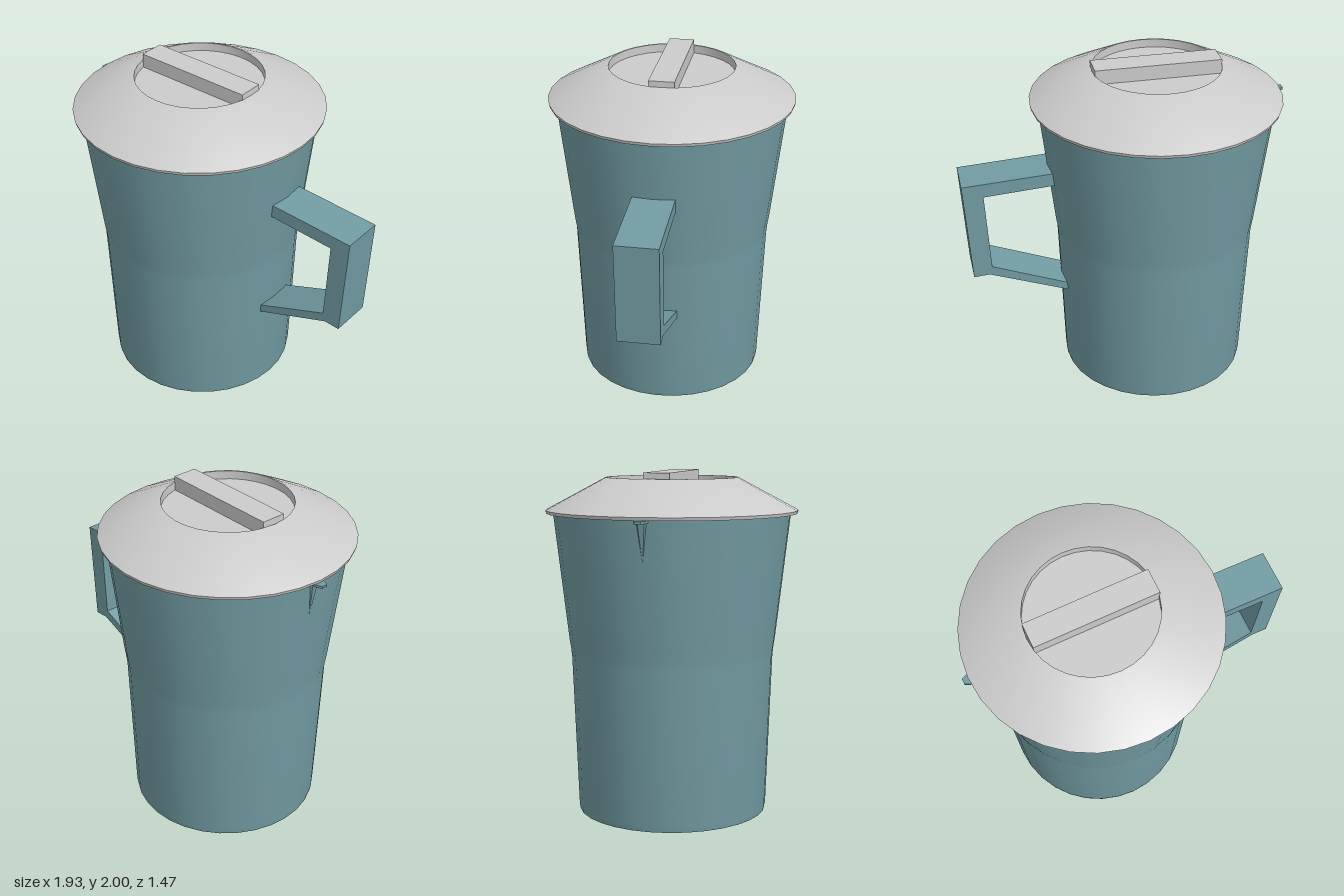
import * as THREE from 'three';
import { toCreasedNormals } from 'three/addons/utils/BufferGeometryUtils.js';
import { ConvexGeometry } from 'three/addons/geometries/ConvexGeometry.js';

const AXIS_X = -0.205; // centre line of the pitcher
const SIDES = 32;

export function createModel() {
  const group = new THREE.Group();
  const teal = new THREE.MeshStandardMaterial({ color: 0x729ca3 });
  const grey = new THREE.MeshStandardMaterial({ color: 0xcccccc });

  const add = (name, geometry, material, x = 0, y = 0, z = 0) => {
    const mesh = new THREE.Mesh(geometry, material);
    mesh.name = name;
    mesh.position.set(x, y, z);
    group.add(mesh);
    return mesh;
  };
  const vec2 = (list) => list.map(([x, y]) => new THREE.Vector2(x, y));
  const vec3 = (list) => list.map((p) => new THREE.Vector3(...p));
  const lathe = (profile) =>
    toCreasedNormals(new THREE.LatheGeometry(vec2(profile), SIDES), 0.5);

  // Tapered jug: recessed base, outer wall with a waist, rim, inner wall
  add('body', lathe([
    [0, 0.015], [0.42, 0.015], [0.44, 0], [0.555, 0], [0.56, 0.03],
    [0.593, 0.92], [0.598, 0.97], [0.607, 1.03], [0.692, 1.765],
    [0.672, 1.765], [0.585, 1.03], [0.572, 0.92], [0.54, 0.05], [0, 0.05],
  ]), teal, AXIS_X);

  // Sloping lid with a sunken round top, closed underneath
  add('lid', lathe([
    [0, 1.76], [0.73, 1.76], [0.735, 1.778], [0.385, 1.965],
    [0.375, 1.965], [0.375, 1.915], [0, 1.915],
  ]), grey, AXIS_X);

  // Grip bar across the sunken top
  add('lidGrip', new THREE.BoxGeometry(0.74, 0.1, 0.15), grey, -0.203, 1.95, 0);

  // Angular handle: outer outline, then back along the inside
  const handle = new THREE.Shape(vec2([
    [0.34, 0.572], [0.83, 0.757], [0.925, 0.75], [0.962, 1.37], [0.4, 1.402],
    [0.4, 1.322], [0.838, 1.293], [0.813, 0.81], [0.34, 0.622],
  ]));
  add('handle', new THREE.ExtrudeGeometry(handle, {
    depth: 0.25, bevelEnabled: false,
  }), teal, 0, 0, -0.125);

  // Small pouring lip and the ridge that runs down from it
  const lip = [];
  for (const s of [-1, 1]) {
    for (const y of [1.744, 1.758]) {
      lip.push([-0.88, y, s * 0.04], [-0.94, y, s * 0.03], [-0.97, y, s * 0.018]);
    }
  }
  add('spoutLip', new ConvexGeometry(vec3(lip)), teal);
  add('spoutRidge', new ConvexGeometry(vec3([
    [-0.905, 1.75, -0.02], [-0.905, 1.75, 0.02], [-0.86, 1.75, -0.05],
    [-0.86, 1.75, 0.05], [-0.868, 1.52, 0],
  ])), teal);

  return group;
}
